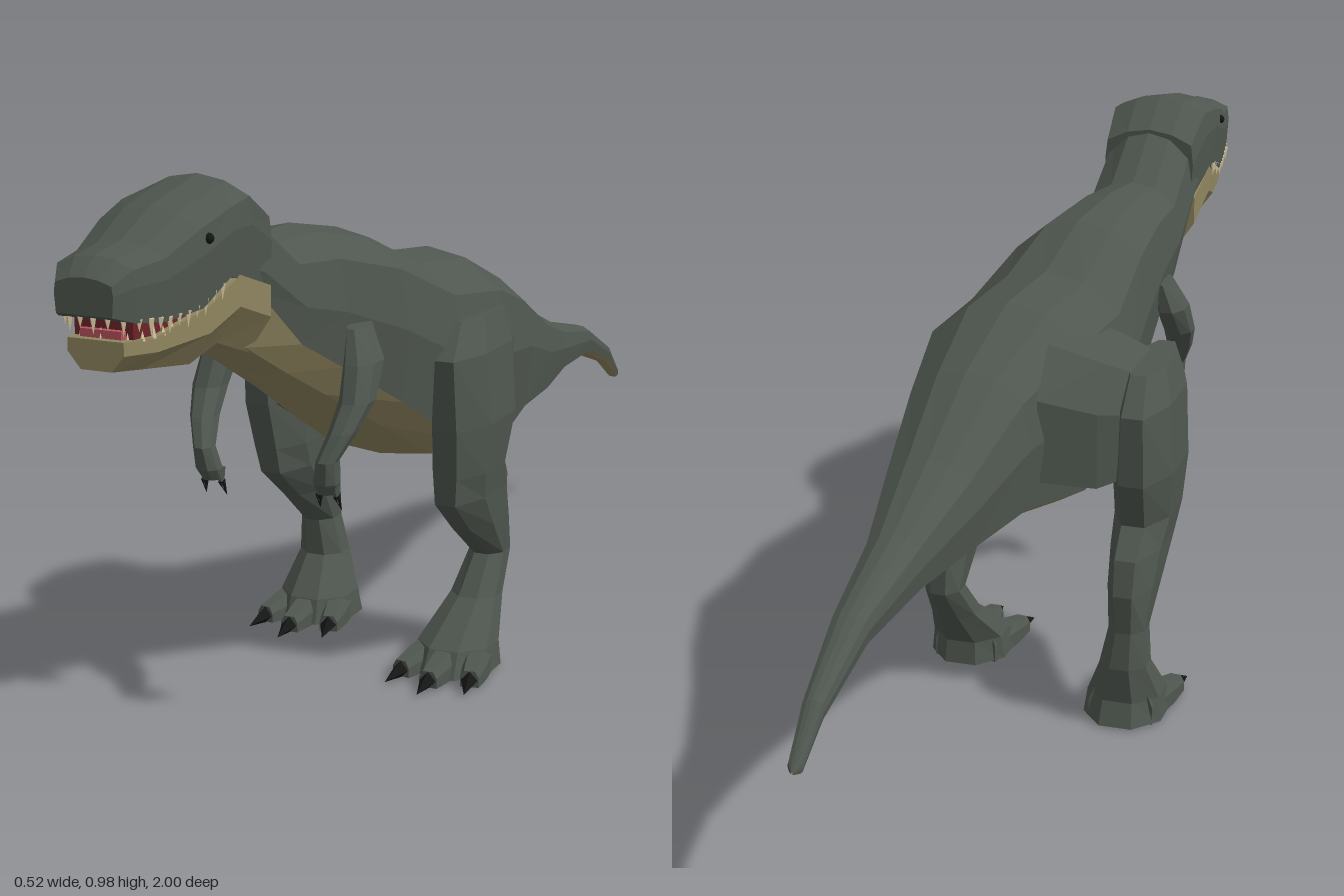
import * as THREE from 'three';

const mat = (color, side = THREE.FrontSide) => new THREE.MeshStandardMaterial({ color, flatShading: true, side });
const skin = mat(0x4f564f, THREE.DoubleSide);
const tan = mat(0x8f855f, THREE.DoubleSide);
const black = mat(0x151515);
const ivory = mat(0xd8c9a0);
const maroon = mat(0x6b2328);
const pink = mat(0xb5525c);

const V = (x, y, z) => new THREE.Vector3(x, y, z);

// Skin between successive rings; rings run counter-clockwise seen from the first ring's outside
function loft(rings, closed = true) {
  const p = [];
  const tri = (...vs) => vs.forEach(v => p.push(v.x, v.y, v.z));
  const n = rings[0].length;
  for (let i = 0; i < rings.length - 1; i++) {
    for (let j = 0; j < (closed ? n : n - 1); j++) {
      const k = (j + 1) % n;
      const a = rings[i][j], b = rings[i][k], c = rings[i + 1][k], d = rings[i + 1][j];
      tri(a, d, c);
      tri(a, c, b);
    }
  }
  if (closed) {
    const f = rings[0], l = rings[rings.length - 1];
    for (let j = 1; j < n - 1; j++) {
      tri(f[0], f[j], f[j + 1]);
      tri(l[0], l[j + 1], l[j]);
    }
  }
  const g = new THREE.BufferGeometry();
  g.setAttribute('position', new THREE.Float32BufferAttribute(p, 3));
  g.computeVertexNormals();
  return g;
}

function add(parent, name, geometry, material) {
  const m = new THREE.Mesh(geometry, material);
  m.name = name;
  parent.add(m);
  return m;
}

// Horizontal rings going down a limb: [y, x, z, half width, half depth]
const limb = rows => loft(rows.map(([y, x, z, hx, hz]) =>
  [...Array(8).keys()].map(i => {
    const a = (i + 0.5) * Math.PI / 4;
    return V(x + hx * 1.08 * Math.cos(a), y, z - hz * 1.08 * Math.sin(a));
  })));

// Upright rings going back from the front: [z, half width, top, bottom] with a unit profile
const shell = (rows, profile) => loft(rows.map(([z, hw, top, bot]) =>
  profile.map(([u, v]) => V(u * hw, bot + v * (top - bot), z))));

// Pointed four-sided cone from a base point to a tip
function spike(parent, name, base, tip, r, material) {
  const d = tip.clone().sub(base), len = d.length();
  const g = new THREE.ConeGeometry(r, len, 4).translate(0, len / 2, 0);
  const m = add(parent, name, g, material);
  m.position.copy(base);
  m.quaternion.setFromUnitVectors(V(0, 1, 0), d.normalize());
}

function addBody(root) {
  // z, centre x, half width, top, bottom, height fraction where the pale belly starts
  const rows = [
    [0.70, -0.03, 0.085, 0.96, 0.735, 0.40], [0.60, -0.03, 0.092, 0.95, 0.69, 0.38],
    [0.47, -0.025, 0.097, 0.855, 0.62, 0.25], [0.37, -0.01, 0.11, 0.86, 0.56, 0.2],
    [0.25, 0.02, 0.14, 0.835, 0.48, 0.16], [0.12, 0.045, 0.165, 0.77, 0.40, 0.12],
    [-0.03, 0.07, 0.165, 0.755, 0.37, 0.1], [-0.2, 0.09, 0.12, 0.68, 0.40, 0.1],
    [-0.37, 0.1, 0.088, 0.58, 0.40, 0.12], [-0.55, 0.1, 0.053, 0.51, 0.405, 0.14],
    [-0.75, 0.1, 0.033, 0.46, 0.40, 0.15], [-0.91, 0.1, 0.019, 0.385, 0.345, 0.2],
    [-0.985, 0.1, 0.013, 0.317, 0.295, 0.2], [-1, 0.1, 0.002, 0.304, 0.3, 0.2]];
  const arc = half => rows.map(([z, cx, hw, top, bot, b]) =>
    half(b).map(([u, v]) => V(cx + u * hw, bot + v * (top - bot), z)));
  add(root, 'back', loft(arc(b => [[0.9, b], [1, 0.52], [0.87, 0.82], [0.45, 0.96], [0, 1],
    [-0.45, 0.96], [-0.87, 0.82], [-1, 0.52], [-0.9, b]]), false), skin);
  add(root, 'belly', loft(arc(b => [[-0.9, b], [-0.6, 0.03], [0, 0], [0.6, 0.03], [0.9, b]]), false), tan);
}

function addHead(root) {
  const head = new THREE.Group();
  head.name = 'head';
  head.position.x = -0.03;
  root.add(head);
  // Boxy skull with a hard brow edge
  add(head, 'skull', shell([
    [1.0, 0.05, 0.885, 0.828], [0.965, 0.068, 0.912, 0.815], [0.89, 0.08, 0.92, 0.803],
    [0.80, 0.094, 0.957, 0.806], [0.72, 0.1, 0.972, 0.84], [0.65, 0.097, 0.985, 0.82],
    [0.57, 0.09, 0.935, 0.79]],
    [[-0.95, 0], [0.95, 0], [1, 0.55], [0.95, 0.82], [0.5, 0.95], [0, 1],
      [-0.5, 0.95], [-0.95, 0.82], [-1, 0.55]]), skin);
  add(head, 'lowerJaw', shell([
    [0.97, 0.048, 0.785, 0.738], [0.9, 0.066, 0.782, 0.728], [0.77, 0.084, 0.803, 0.708],
    [0.69, 0.095, 0.838, 0.725], [0.58, 0.092, 0.80, 0.685]],
    [[-0.55, 0], [0.55, 0], [1, 0.55], [1, 1], [-1, 1], [-1, 0.55]]), tan);
  const box = [[-1, 0], [1, 0], [1, 1], [-1, 1]];
  add(head, 'mouthInside', shell([[0.945, 0.05, 0.83, 0.765], [0.68, 0.085, 0.85, 0.77]], box), maroon);
  add(head, 'tongue', shell([[0.955, 0.035, 0.797, 0.77], [0.89, 0.055, 0.797, 0.76], [0.70, 0.08, 0.82, 0.77]], box), pink);

  // Two rows of teeth along the lips
  const lips = new THREE.CatmullRomCurve3([V(-0.09, 0, 0.74), V(-0.077, 0, 0.87), V(-0.06, 0, 0.955),
    V(0, 0, 0.975), V(0.06, 0, 0.955), V(0.077, 0, 0.87), V(0.09, 0, 0.74)]);
  for (let i = 0; i <= 24; i++) {
    const p = lips.getPointAt(i / 24);
    const rise = Math.max(0, 0.82 - p.z) * 0.3;
    const front = Math.max(0, p.z - 0.88) * 0.12;
    const long = i % 2 ? 0.02 : 0.028;
    const up = V(p.x, 0.81 + rise + front, p.z);
    spike(head, 'upperTooth', up, up.clone().add(V(0, -long, 0)), 0.006, ivory);
    const low = V(p.x * 0.88, 0.78 + rise, p.z - 0.022);
    spike(head, 'lowerTooth', low, low.clone().add(V(0, long * 0.8, 0)), 0.005, ivory);
  }
  // Small sunken eyes
  for (const s of [-1, 1]) {
    const eye = add(head, 'eye', new THREE.IcosahedronGeometry(0.009, 1), black);
    eye.position.set(s * 0.092, 0.912, 0.785);
  }
}

function addLeg(root, s) {
  const leg = new THREE.Group();
  leg.name = s > 0 ? 'leftLeg' : 'rightLeg';
  root.add(leg);
  // y, x, z of the forward leg, z of the trailing leg, half width, half depth
  const rows = [
    [0.66, 0.19, 0.03, 0.02, 0.036, 0.10], [0.60, 0.195, 0.045, 0.005, 0.048, 0.145],
    [0.47, 0.194, 0.04, 0.0, 0.056, 0.14], [0.38, 0.19, 0.055, 0.005, 0.052, 0.11],
    [0.33, 0.188, 0.035, -0.025, 0.047, 0.125], [0.265, 0.188, -0.005, -0.075, 0.042, 0.09],
    [0.19, 0.188, -0.055, -0.115, 0.034, 0.042], [0.12, 0.183, -0.005, -0.12, 0.044, 0.044],
    [0.05, 0.178, 0.07, -0.085, 0.068, 0.07], [0.005, 0.178, 0.08, -0.085, 0.074, 0.085]];
  add(leg, 'legAndFoot', limb(rows.map(([y, x, zf, zt, hx, hz]) => [y, s * x, s > 0 ? zf : zt, hx, hz])), skin);

  // Haunch joining the thigh to the body: x, bottom, top, back, front
  const hip = [[0.03, 0.43, 0.71, -0.17, 0.14], [0.13, 0.42, 0.675, -0.135, 0.13], [0.2, 0.45, 0.65, -0.09, 0.11]]
    .map(([x, b, t, z0, z1]) => [[z0, 0.15], [z0, 0.7], [z0 * 0.6, 1], [z1 * 0.6, 1], [z1, 0.7], [z1, 0.15], [0, 0]]
      .map(([z, v]) => V(s * x, b + v * (t - b), z)));
  if (s > 0) hip.forEach(ring => ring.reverse());
  add(leg, 'haunch', loft(hip), skin);

  // Three splayed toes with claws
  for (const t of [-1, 0, 1]) {
    const toe = new THREE.Group();
    toe.name = 'toe';
    toe.position.set(s * 0.178 + t * 0.047, 0, (s > 0 ? 0.11 : -0.05) - Math.abs(t) * 0.03);
    toe.rotation.y = t * 0.2;
    leg.add(toe);
    add(toe, 'toePad', shell([[0.1, 0.017, 0.034, 0.004], [0.05, 0.022, 0.046, 0.002], [-0.05, 0.024, 0.06, 0.002]],
      [[-1, 0], [1, 0], [1, 0.6], [0.6, 1], [-0.6, 1], [-1, 0.6]]), skin);
    spike(toe, 'toeClaw', V(0, 0.018, 0.095), V(0, 0.008, 0.15), 0.017, black);
  }
}

function addArm(root, s) {
  const arm = new THREE.Group();
  arm.name = s > 0 ? 'leftArm' : 'rightArm';
  root.add(arm);
  add(arm, 'armAndHand', limb([
    [0.695, 0.118, 0.365, 0.016, 0.036], [0.64, 0.133, 0.38, 0.028, 0.05],
    [0.58, 0.138, 0.418, 0.027, 0.036], [0.535, 0.13, 0.455, 0.022, 0.03],
    [0.49, 0.115, 0.487, 0.017, 0.021], [0.45, 0.11, 0.48, 0.021, 0.022],
    [0.43, 0.108, 0.472, 0.016, 0.016]].map(r => [r[0], s * r[1], ...r.slice(2)])), skin);
  for (const t of [-1, 1]) {
    spike(arm, 'finger', V(s * 0.108 + t * 0.013, 0.45, 0.475), V(s * 0.108 + t * 0.018, 0.41, 0.467), 0.012, skin);
    spike(arm, 'fingerClaw', V(s * 0.108 + t * 0.016, 0.427, 0.47), V(s * 0.108 + t * 0.02, 0.398, 0.458), 0.007, black);
  }
}

export function createModel() {
  const root = new THREE.Group();
  root.name = 'dinosaur';
  addBody(root);
  addHead(root);
  for (const s of [-1, 1]) {
    addLeg(root, s);
    addArm(root, s);
  }
  return root;
}
